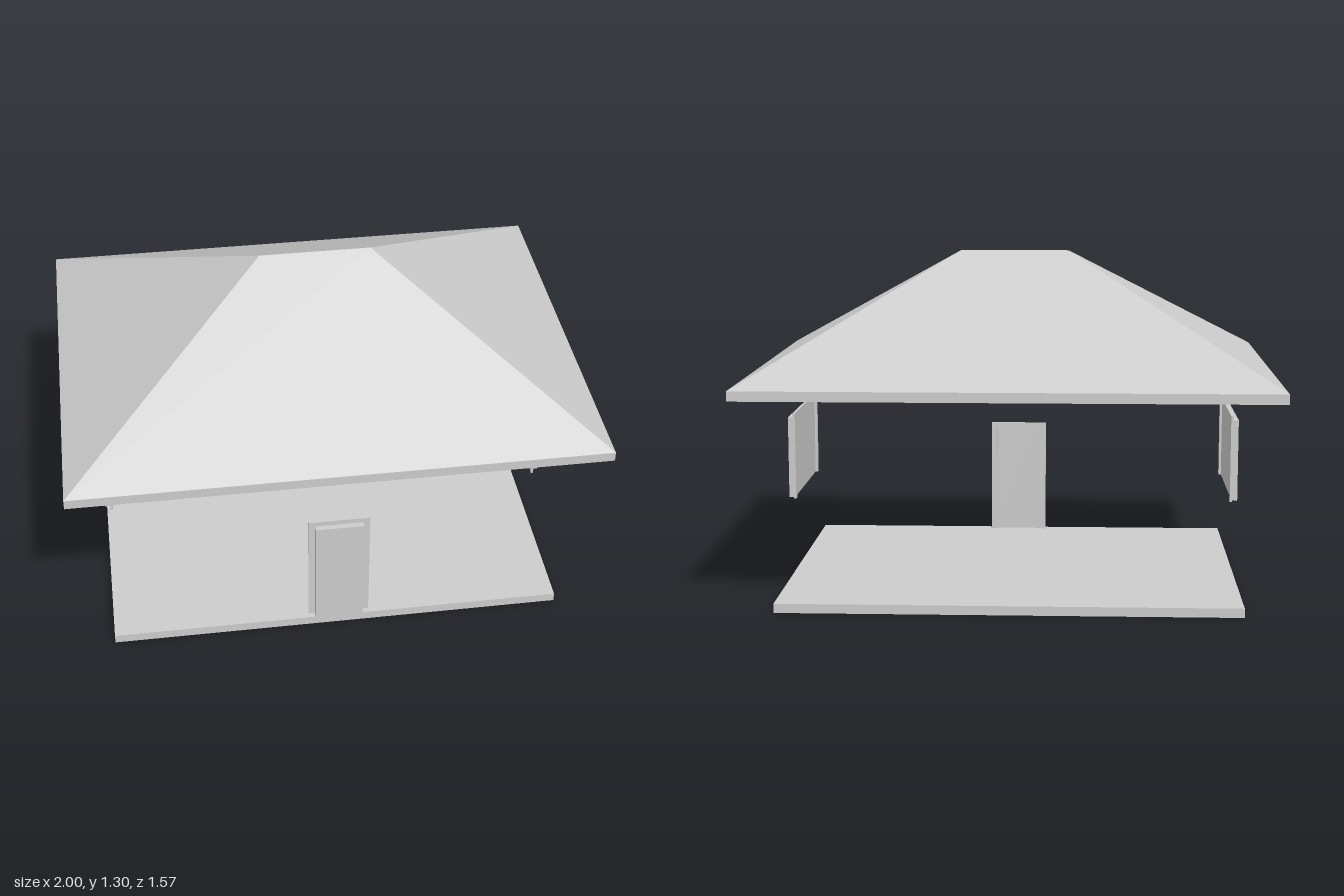
import * as THREE from 'three';

const material = new THREE.MeshStandardMaterial({ color: 0xcccccc, flatShading: true });

function addMesh(parent, name, geometry, x = 0, y = 0, z = 0) {
  const mesh = new THREE.Mesh(geometry, material);
  mesh.name = name;
  mesh.position.set(x, y, z);
  parent.add(mesh);
  return mesh;
}

// Hipped roof of even vertical thickness, open below
function roofGeometry(halfX, halfZ, eave, ridgeY, ridgeX, thickness) {
  const layer = (drop) => [
    [-halfX, eave - drop, halfZ], [halfX, eave - drop, halfZ],
    [halfX, eave - drop, -halfZ], [-halfX, eave - drop, -halfZ],
    [-ridgeX, ridgeY - drop, 0], [ridgeX, ridgeY - drop, 0],
  ];
  const top = layer(0), under = layer(thickness);
  const points = [];
  const face = (...corners) => {
    for (let i = 1; i < corners.length - 1; i++) {
      points.push(...corners[0], ...corners[i], ...corners[i + 1]);
    }
  };
  // Four slopes above, the same reversed below
  for (const slope of [[0, 1, 5, 4], [1, 2, 5], [2, 3, 4, 5], [3, 0, 4]]) {
    face(...slope.map((i) => top[i]));
    face(...slope.map((i) => under[i]).reverse());
  }
  // Fascia along each eave
  for (let i = 0; i < 4; i++) {
    const j = (i + 1) % 4;
    face(under[i], under[j], top[j], top[i]);
  }
  const geometry = new THREE.BufferGeometry();
  geometry.setAttribute('position', new THREE.Float32BufferAttribute(points, 3));
  geometry.computeVertexNormals();
  return geometry;
}

// Panel at the outer face (+z) with a three-sided trim behind it
function createOpening(name, width, height, side, head) {
  const group = new THREE.Group();
  group.name = name;
  const w = width / 2, inner = w - side, panelHeight = height - head;
  const panelDepth = 0.022, trimDepth = 0.009;
  addMesh(group, name + 'Panel', new THREE.BoxGeometry(inner * 2, panelHeight, panelDepth),
    0, panelHeight / 2, -panelDepth / 2);
  const outline = [[-w, 0], [-inner, 0], [-inner, panelHeight], [inner, panelHeight],
    [inner, 0], [w, 0], [w, height], [-w, height]];
  const shape = new THREE.Shape(outline.map(([x, y]) => new THREE.Vector2(x, y)));
  addMesh(group, name + 'Trim',
    new THREE.ExtrudeGeometry(shape, { depth: trimDepth, bevelEnabled: false }),
    0, 0, -panelDepth - trimDepth);
  return group;
}

export function createModel() {
  const model = new THREE.Group();
  model.name = 'house';

  addMesh(model, 'floor', new THREE.BoxGeometry(1.74, 0.035, 1.32), 0, 0.0175, 0);
  addMesh(model, 'roof', roofGeometry(1, 0.785, 0.848, 1.302, 0.212, 0.037));

  const door = createOpening('door', 0.236, 0.473, 0.025, 0.02);
  door.position.set(0.007, 0.035, 0.66);
  model.add(door);

  // One window on each side wall
  for (const s of [-1, 1]) {
    const win = createOpening(s > 0 ? 'leftWindow' : 'rightWindow', 0.576, 0.335, 0.025, 0.02);
    win.position.set(s * 0.87, 0.355, 0);
    win.rotation.y = s * Math.PI / 2;
    model.add(win);
  }
  return model;
}
